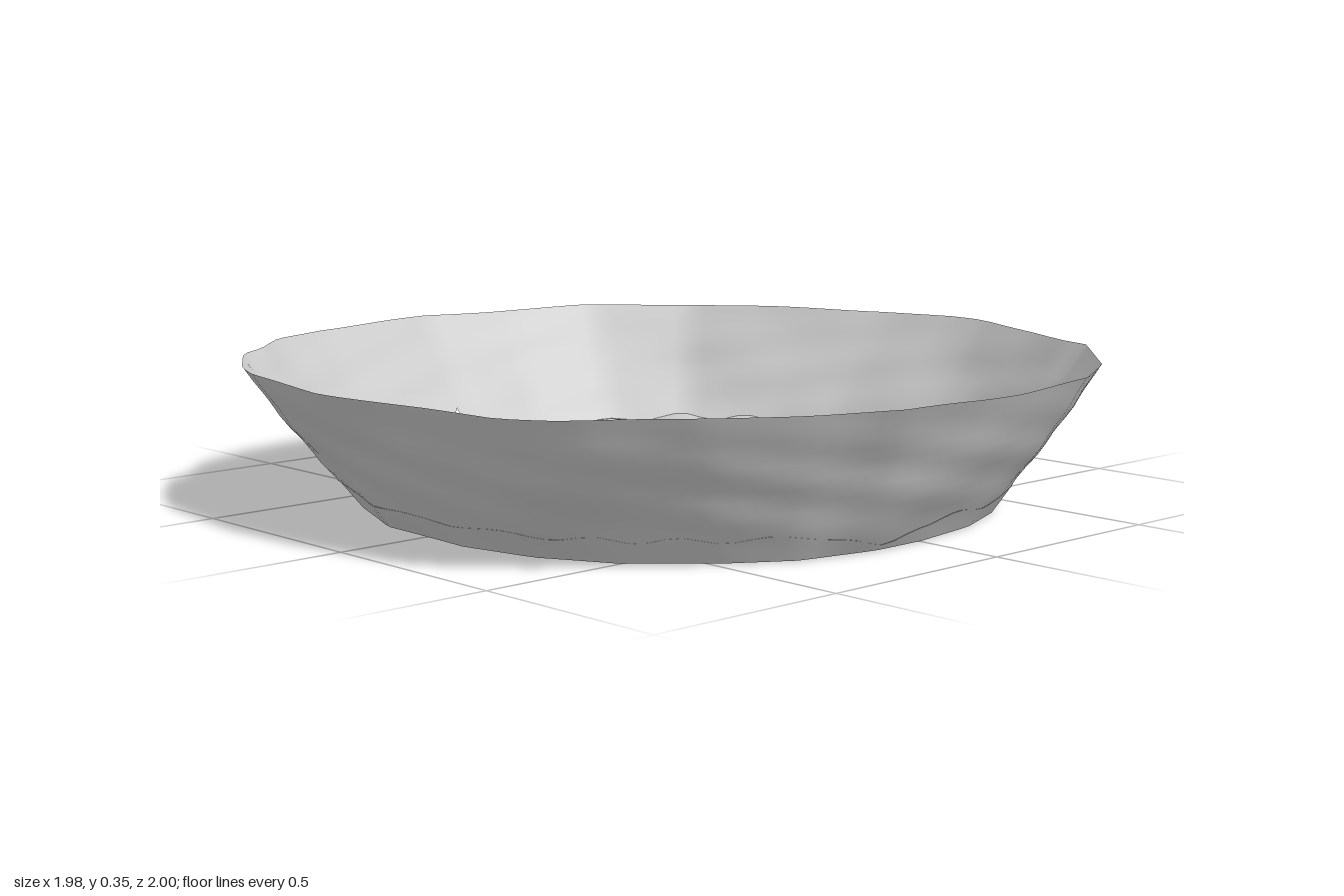
import * as THREE from 'three';

// Outlines seen from above, as [x, z] corners
const RIM = [[0.1, -1], [0.33, -0.93], [0.5, -0.85], [0.58, -0.83], [0.8, -0.61], [0.93, -0.39],
  [0.98, -0.1], [0.985, 0.03], [0.97, 0.26], [0.87, 0.46], [0.76, 0.65], [0.56, 0.86], [0.45, 0.93],
  [0.16, 0.98], [-0.08, 1], [-0.38, 0.96], [-0.5, 0.91], [-0.69, 0.78], [-0.73, 0.7], [-0.85, 0.57],
  [-0.93, 0.39], [-0.97, 0.15], [-0.995, 0], [-0.95, -0.25], [-0.89, -0.48], [-0.7, -0.7],
  [-0.5, -0.81], [-0.2, -0.96], [0, -1]];
const FLOOR = [[0.2, -0.75], [0.4, -0.69], [0.55, -0.57], [0.7, -0.38], [0.77, -0.2], [0.8, 0],
  [0.8, 0.15], [0.76, 0.35], [0.67, 0.5], [0.52, 0.67], [0.35, 0.77], [0.15, 0.82], [-0.15, 0.81],
  [-0.38, 0.71], [-0.6, 0.53], [-0.7, 0.32], [-0.74, 0.05], [-0.74, -0.2], [-0.67, -0.4],
  [-0.55, -0.55], [-0.35, -0.7], [-0.2, -0.76], [-0.08, -0.77]];
// Slopes crossing the floor
const CREASES = [
  [[-0.72, 0.1], [-0.35, 0.08], [-0.2, -0.09], [0.1, -0.13], [0.35, -0.25], [0.52, -0.48]],
  [[-0.7, 0.28], [-0.4, 0.38], [0.05, 0.42], [0.3, 0.37], [0.4, 0.5]],
  [[0.1, 0.1], [0.2, 0.22], [0.45, 0.22], [0.52, 0.09], [0.8, 0.08]],
  [[-0.62, -0.37], [-0.3, -0.33]], [[0, 0.67], [0.2, 0.6], [0.35, 0.5]], [[-0.2, -0.62], [-0.1, -0.42]],
];
const SEGMENTS = 144;
const HEIGHT = 0.343;

// Distance from the centre to an outline along an angle
function radiusAt(outline, a) {
  const dx = Math.cos(a), dz = Math.sin(a);
  let best = 0;
  outline.forEach(([x0, z0], i) => {
    const [x1, z1] = outline[(i + 1) % outline.length];
    const ex = x1 - x0, ez = z1 - z0, d = dx * ez - dz * ex;
    const r = (x0 * ez - z0 * ex) / d, s = (x0 * dz - z0 * dx) / d;
    if (s >= -1e-6 && s <= 1 + 1e-6) best = Math.max(best, r);
  });
  return best;
}

// Dented wall, nearly straight from the foot to the rim
function wallRadius(a, t) {
  const foot = radiusAt(FLOOR, a) - 0.015 - 0.03 * Math.sin(a) ** 2;
  const bulge = 0.008 + 0.005 * Math.sin(5 * a + 4 * t)
    + 0.006 * Math.sin(11 * a - 7 * t) * Math.sin(12 * t + 2 * a);
  return THREE.MathUtils.lerp(foot, radiusAt(RIM, a), t) + Math.sin(Math.PI * t) * bulge;
}

function segmentDistance(x, z, [ax, az], [bx, bz]) {
  const ex = bx - ax, ez = bz - az;
  const s = THREE.MathUtils.clamp(((x - ax) * ex + (z - az) * ez) / (ex * ex + ez * ez), 0, 1);
  return Math.hypot(x - ax - s * ex, z - az - s * ez);
}

// Wrinkled floor height: soft lumps, with a valley at the foot of each slope
function floorHeight(x, z) {
  let d = 1;
  for (const line of CREASES)
    for (let i = 1; i < line.length; i++)
      d = Math.min(d, segmentDistance(x - 0.03, z - 0.05, line[i - 1], line[i]));
  const lumps = Math.sin(10 * x + 3 * Math.sin(5 * z)) * Math.sin(14 * z + 2 * Math.sin(6 * x));
  return 0.06 + 0.014 * lumps - 0.045 * Math.exp(-((d / 0.075) ** 2));
}

// Closed-ring surface from point(angle, t), t running 0 to 1
function ringSurface(name, rows, point, isHole = () => false) {
  const pos = [], index = [];
  for (let j = 0; j <= rows; j++)
    for (let i = 0; i < SEGMENTS; i++) pos.push(...point(i / SEGMENTS * Math.PI * 2, j / rows));
  for (let j = 0; j < rows; j++) {
    for (let i = 0; i < SEGMENTS; i++) {
      const a = j * SEGMENTS + i, b = j * SEGMENTS + (i + 1) % SEGMENTS;
      if (!isHole(i, j, false)) index.push(a, b + SEGMENTS, b);
      if (!isHole(i, j, true)) index.push(a, a + SEGMENTS, b + SEGMENTS);
    }
  }
  const geometry = new THREE.BufferGeometry();
  geometry.setAttribute('position', new THREE.Float32BufferAttribute(pos, 3));
  geometry.setIndex(index);
  geometry.computeVertexNormals();
  const mesh = new THREE.Mesh(geometry,
    new THREE.MeshStandardMaterial({ color: 0xcccccc, side: THREE.DoubleSide }));
  mesh.name = name;
  return mesh;
}

// Three-cornered tear low on one side of the wall
function inTear(i, j, upper) {
  const di = i - 68, dj = j - 1;
  return di >= 0 && di < 3 && dj >= 0 && (dj < di || (dj === di && !upper));
}

export function createModel() {
  const group = new THREE.Group();
  group.name = 'shallowBowl';

  // Flared wall with a slightly uneven rim
  group.add(ringSurface('wall', 12, (a, t) => {
    const r = wallRadius(a, t);
    const top = HEIGHT + 0.004 * Math.sin(4 * a + 1) * Math.sin(7 * a);
    return [r * Math.cos(a), 0.003 + (top - 0.003) * t, r * Math.sin(a)];
  }, inTear));

  // Wrinkled floor, set just above the foot and meeting the wall all round
  group.add(ringSurface('floor', 50, (a, t) => {
    const edge = radiusAt(FLOOR, a);
    const edgeY = floorHeight(edge * Math.cos(a), edge * Math.sin(a));
    const r = wallRadius(a, edgeY / HEIGHT) * Math.max(1 - t, 0.0005);
    const x = r * Math.cos(a), z = r * Math.sin(a);
    return [x, t === 0 ? edgeY : floorHeight(x, z), z];
  }));

  return group;
}
